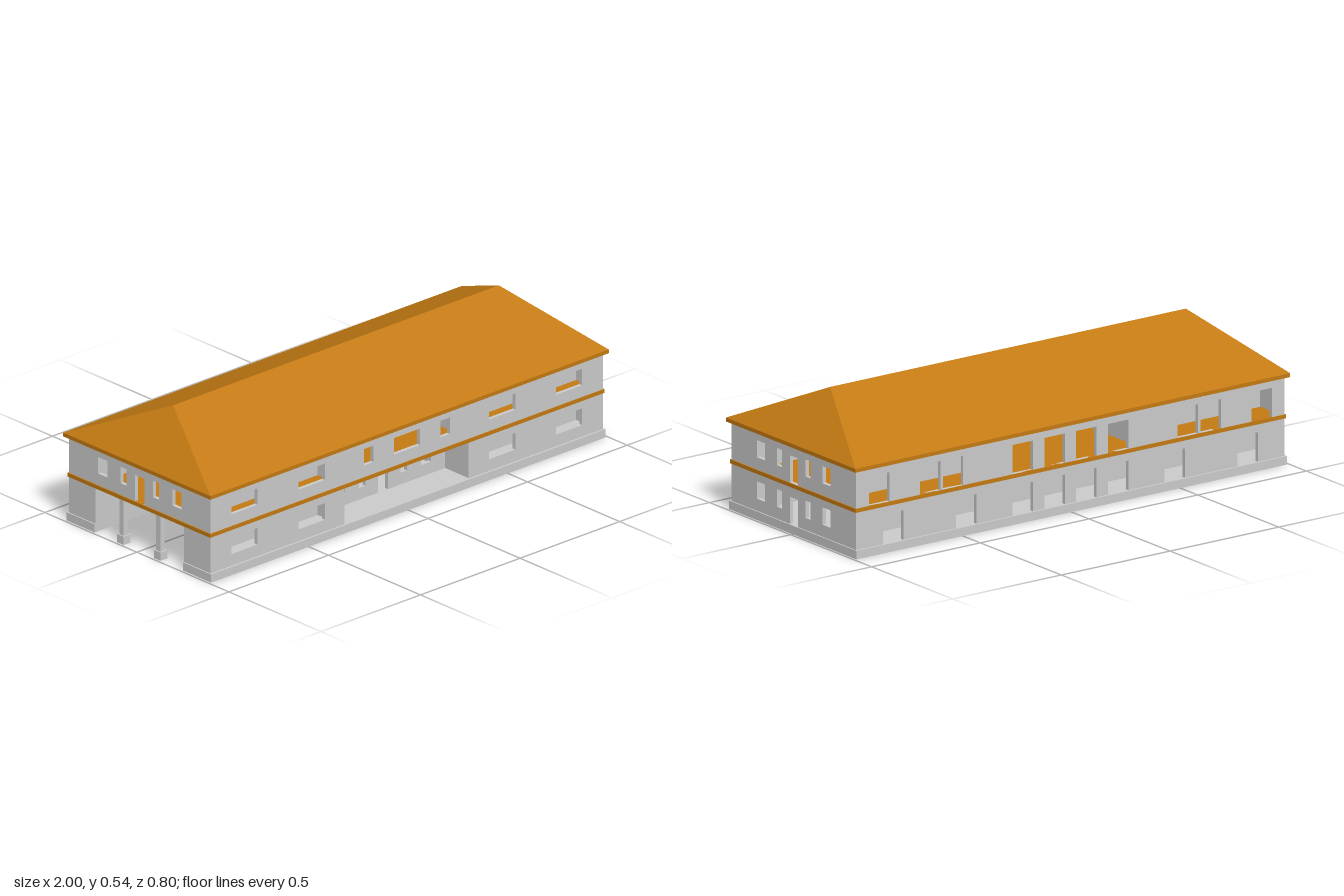
import * as THREE from 'three';
import { ConvexGeometry } from 'three/addons/geometries/ConvexGeometry.js';

const T = 0.015; // wall thickness
const FLOORS = [
  { name: 'ground', base: 0.033, top: 0.178, sill: 0.08, head: 0.147, doorHead: 0.138 },
  { name: 'upper', base: 0.193, top: 0.338, sill: 0.24, head: 0.306, doorHead: 0.298 },
];

export function createModel() {
  const house = new THREE.Group();
  house.name = 'house';
  const grey = new THREE.MeshStandardMaterial({ color: 0xcccccc, flatShading: true });
  const brown = new THREE.MeshStandardMaterial({ color: 0xc47a12, flatShading: true });

  function add(name, geometry, material) {
    const mesh = new THREE.Mesh(geometry, material);
    mesh.name = name;
    house.add(mesh);
    return mesh;
  }

  function box(name, x0, x1, y0, y1, z0, z1, material) {
    const mesh = add(name, new THREE.BoxGeometry(x1 - x0, y1 - y0, z1 - z0), material);
    mesh.position.set((x0 + x1) / 2, (y0 + y1) / 2, (z0 + z1) / 2);
  }

  // Wall running along x or z, centred on "at", with openings [from, to, bottom, top]
  function wall(name, axis, at, a, b, floor, openings = []) {
    const y0 = floor.base - 0.005, y1 = floor.top + 0.005;
    const rect = (Shape, l, r, d, u) =>
      new Shape([[l, d], [r, d], [r, u], [l, u]].map(p => new THREE.Vector2(...p)));
    const shape = rect(THREE.Shape, a, b, y0, y1);
    for (const o of openings) shape.holes.push(rect(THREE.Path, ...o));
    const geometry = new THREE.ExtrudeGeometry(shape, { depth: T, bevelEnabled: false });
    geometry.translate(0, 0, -T / 2);
    if (axis === 'z') geometry.rotateY(-Math.PI / 2);
    const mesh = add(name, geometry, grey);
    mesh.position[axis === 'z' ? 'x' : 'z'] = at;
  }

  const win = (f, l, r) => [l, r, f.sill, f.head];
  const door = (f, l, r) => [l, r, f.base, f.doorHead];
  const tall = (f, c) => [c - 0.047, c + 0.047, f.base, f.head];
  const both = (list) => [...list, ...list.map(([l, r, d, u]) => [-r, -l, d, u])];
  // Door flanked by narrow and wide windows
  const hallOpenings = f => [door(f, -0.025, 0.025),
    ...both([win(f, 0.072, 0.104), win(f, 0.177, 0.226)])];

  // Base slab, open to the left-hand end of the plan under the side porch
  box('baseSlab', -0.32, 0.99, 0, 0.033, -0.393, 0.393, grey);
  for (const s of [-1, 1]) {
    box('baseStrip', -0.99, -0.32, 0, 0.033, s > 0 ? 0.24 : -0.393, s > 0 ? 0.393 : -0.24, grey);
  }

  // Middle floor, eaves and hipped roof
  box('middleFloor', -0.99, 0.99, 0.178, 0.193, -0.388, 0.388, brown);
  box('eaves', -1, 1, 0.338, 0.353, -0.4, 0.4, brown);
  const roof = [[-0.818, 0.537, 0], [0.818, 0.537, 0]];
  for (const x of [-1, 1]) for (const z of [-0.4, 0.4]) roof.push([x, 0.353, z]);
  add('roof', new ConvexGeometry(roof.map(p => new THREE.Vector3(...p))), brown);

  const [ground, upper] = FLOORS;
  const X = 0.985 - T / 2, Z = 0.385 - T / 2, HX = 0.32, HZ = 0.24 + T / 2;

  // Back walls with tall openings
  wall('groundBackWall', 'x', -Z, -0.985, 0.985, ground,
    both([0.072, 0.22, 0.48, 0.815].map(c => tall(ground, c))));
  wall('upperBackWall', 'x', -Z, -0.985, 0.985, upper,
    both([0.072, 0.22, 0.54, 0.645, 0.88].map(c => tall(upper, c))));

  // Front walls, the ground floor broken by the entrance recess
  const wingWindows = f => [win(f, 0.412, 0.545), win(f, 0.75, 0.88)];
  wall('upperFrontWall', 'x', Z, -0.985, 0.985, upper,
    [win(upper, -0.065, 0.065), ...both([...wingWindows(upper), win(upper, 0.168, 0.216)])]);
  wall('groundFrontWall', 'x', Z, 0.313, 0.985, ground, wingWindows(ground));
  wall('groundFrontWall', 'x', Z, -0.985, -0.313, ground,
    wingWindows(ground).map(([l, r, d, u]) => [-r, -l, d, u]));
  wall('entranceWall', 'x', HZ, -HX, HX, ground,
    [door(ground, -0.025, 0.025), ...both([win(ground, 0.088, 0.12), win(ground, 0.19, 0.242)])]);
  for (const s of [-1, 1]) wall('entranceSideWall', 'z', s * HX, 0.24, 0.38, ground);

  // End walls
  wall('groundRightEndWall', 'z', X, -0.38, 0.38, ground, hallOpenings(ground));
  for (const s of [-1, 1]) wall('upperEndWall', 'z', s * X, -0.38, 0.38, upper, hallOpenings(upper));
  wall('groundPorchEndWall', 'z', -X, 0.24, 0.38, ground);
  wall('groundPorchEndWall', 'z', -X, -0.38, -0.24, ground);

  // Inner walls around the halls and the side porch
  wall('groundRearHallWall', 'x', -HZ, -0.98, 0.98, ground);
  for (const s of [-1, 1]) {
    wall('porchBackWall', 'z', s * (HX - T / 2), -0.245, 0.245, ground);
    wall('upperHallPartition', 'z', s * HX, -0.38, 0.38, upper, [door(upper, -0.025, 0.025)]);
    wall('upperHallWall', 'x', s * HZ, HX, 0.98, upper);
    wall('upperHallWall', 'x', s * HZ, -0.98, -HX, upper);
    wall('groundHallWall', 'x', HZ, s > 0 ? HX : -0.98, s > 0 ? 0.98 : -HX, ground);
  }

  // Porch columns on square feet
  for (const z of [-0.1, 0.1]) {
    box('porchColumn', -0.985, -0.963, 0, 0.178, z - 0.011, z + 0.011, grey);
    box('columnFoot', -0.99, -0.955, 0, 0.033, z - 0.018, z + 0.018, grey);
  }
  return house;
}
